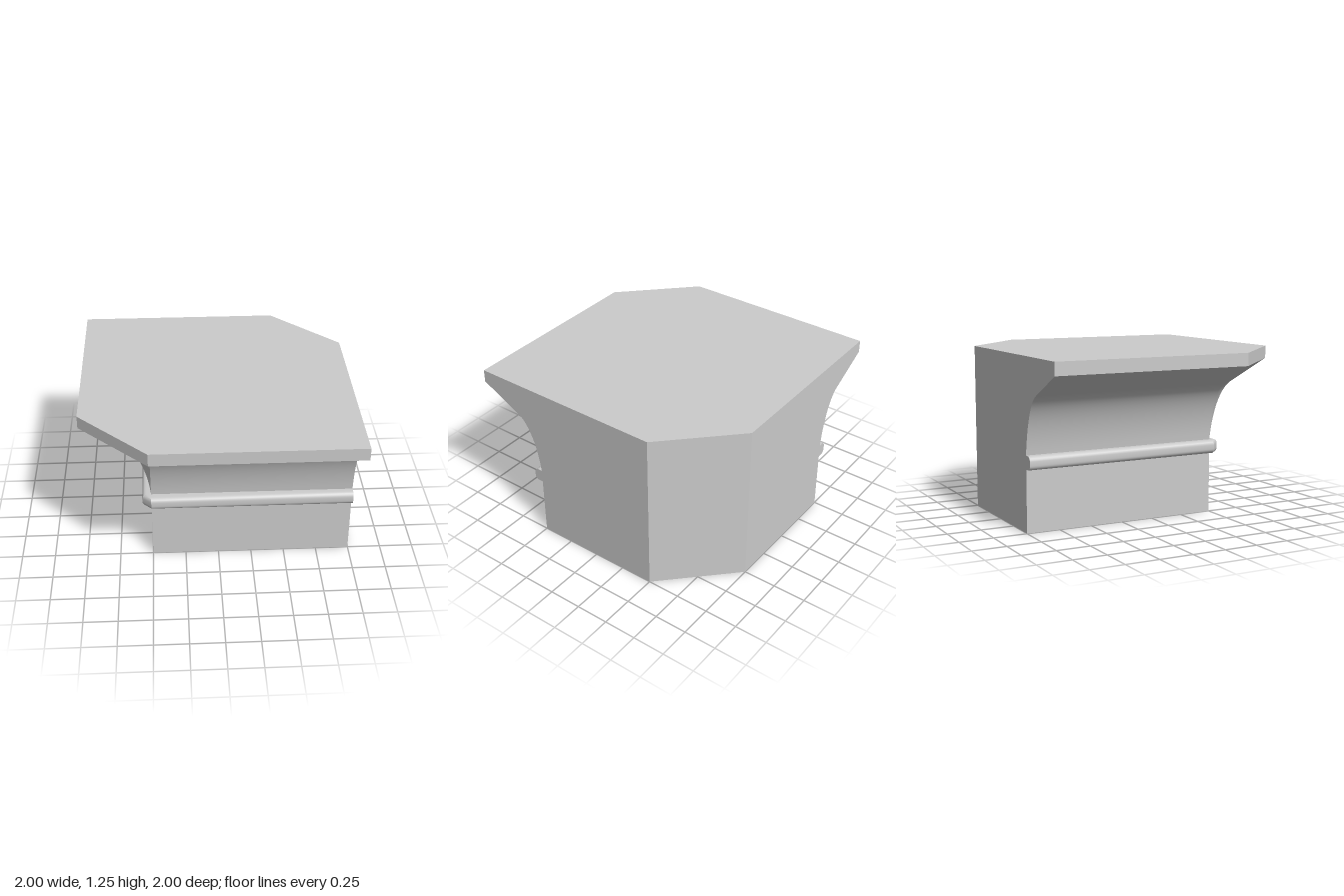
import * as THREE from 'three';
import { toCreasedNormals } from 'three/addons/utils/BufferGeometryUtils.js';

const CREASE = THREE.MathUtils.degToRad(35);

// Plan outline at height y: front and left sides project by d, with a cut corner between them
function ring([d, y]) {
  return [
    [-0.5 - d, 0.5], [-0.5, 0.5 + d], [1, 0.5 + d],
    [1, -0.5], [0.5, -1], [-0.5 - d, -1],
  ].map(([x, z]) => new THREE.Vector3(x, y, z));
}

// Joins the outlines along a profile of [projection, height] points
function loft(name, profile, { bottom = false, top = false } = {}) {
  const rings = profile.map(ring);
  const positions = [];
  const tri = (a, b, c) => {
    const area = b.clone().sub(a).cross(c.clone().sub(a)).length();
    if (area > 1e-9) for (const p of [a, b, c]) positions.push(p.x, p.y, p.z);
  };
  for (let r = 0; r < rings.length - 1; r++) {
    const lo = rings[r], hi = rings[r + 1];
    for (let i = 0; i < lo.length; i++) {
      const j = (i + 1) % lo.length;
      tri(lo[i], lo[j], hi[j]);
      tri(lo[i], hi[j], hi[i]);
    }
  }
  const first = rings[0], last = rings[rings.length - 1];
  for (let i = 1; i < 5; i++) {
    if (bottom) tri(first[0], first[i + 1], first[i]);
    if (top) tri(last[0], last[i], last[i + 1]);
  }
  const geometry = new THREE.BufferGeometry();
  geometry.setAttribute('position', new THREE.Float32BufferAttribute(positions, 3));
  const mesh = new THREE.Mesh(
    toCreasedNormals(geometry, CREASE),
    new THREE.MeshStandardMaterial({ color: 0xcccccc })
  );
  mesh.name = name;
  return mesh;
}

export function createModel() {
  const group = new THREE.Group();
  group.name = 'cornerCapital';
  const beadLow = 0.457, beadHigh = 0.557, beadOut = 0.067, ledge = 1.155;

  // Plain block at the foot
  group.add(loft('block', [[0, 0], [0, beadLow]], { bottom: true }));

  // Rounded bead
  const r = 0.035, bead = [[0, beadLow]];
  for (const [cy, start] of [[beadLow + r, -90], [beadHigh - r, 0]]) {
    for (let k = 0; k <= 5; k++) {
      const a = THREE.MathUtils.degToRad(start + k * 18);
      bead.push([beadOut - r + r * Math.cos(a), cy + r * Math.sin(a)]);
    }
  }
  bead.push([0, beadHigh]);
  group.add(loft('bead', bead));

  // Hollow curve running into the straight flare below the slab
  const curve = new THREE.CubicBezierCurve(
    new THREE.Vector2(0, beadHigh), new THREE.Vector2(0.02, 0.76),
    new THREE.Vector2(0.09, 0.95), new THREE.Vector2(0.19, 0.995)
  );
  const cove = curve.getPoints(14).map((p) => [p.x, p.y]);
  group.add(loft('cove', [...cove, [0.5, ledge]]));

  // Flat slab on top
  group.add(loft('slab', [[0.5, ledge], [0.5, 1.25]], { top: true }));

  return group;
}
